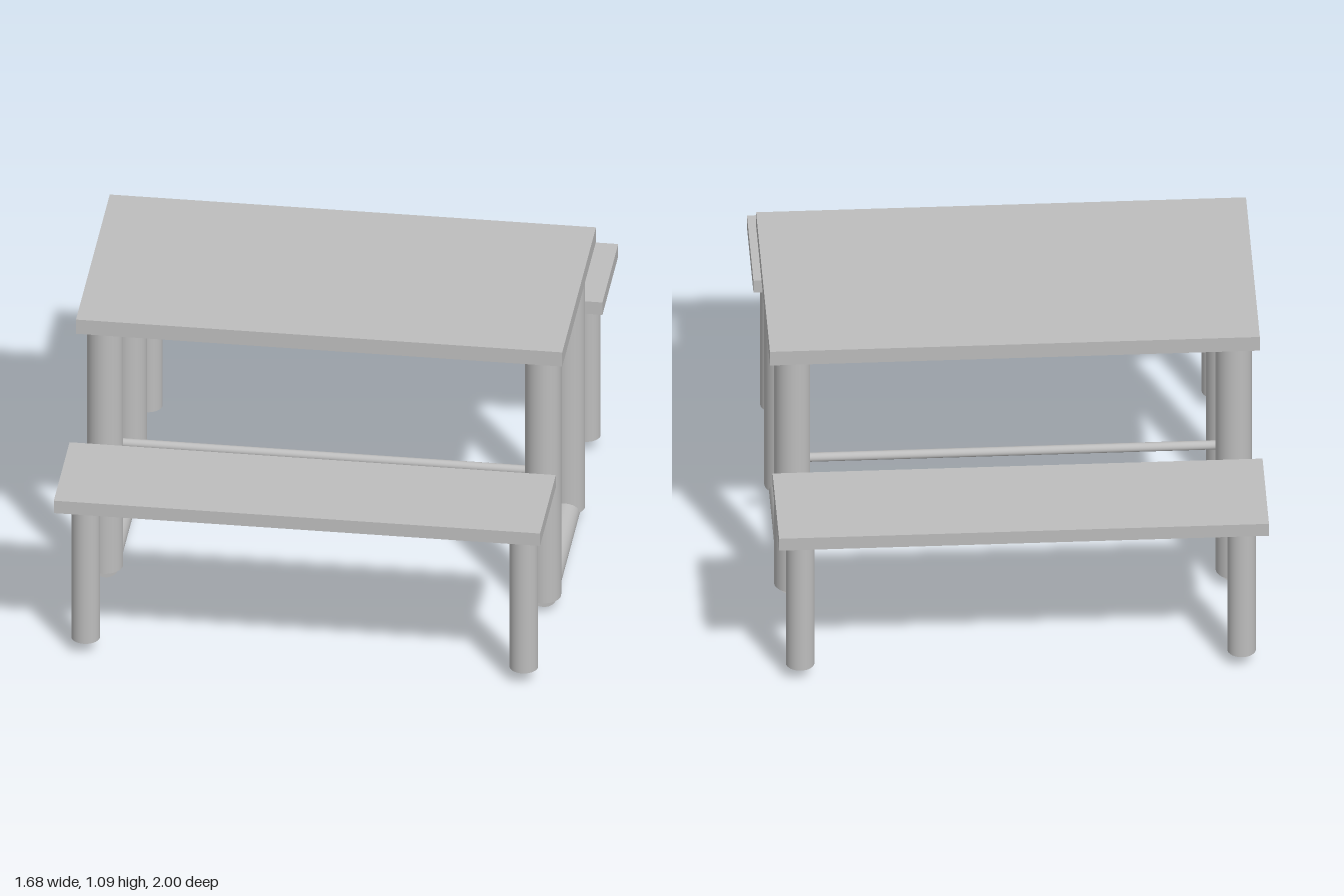
import * as THREE from 'three';

export function createModel() {
  const model = new THREE.Group();
  const grey = new THREE.MeshStandardMaterial({ color: 0xbdbdbd });
  grey.name = 'plain grey';

  const add = (parent, name, geometry, x, y, z) => {
    const mesh = new THREE.Mesh(geometry, grey);
    mesh.name = name;
    mesh.position.set(x, y, z);
    parent.add(mesh);
    return mesh;
  };

  // A slab made of boards laid side by side along x
  const length = 1.68;
  const addBoards = (name, count, bottom, top, depth, z) => {
    const slab = new THREE.Group();
    slab.name = name;
    const width = length / count;
    const board = new THREE.BoxGeometry(width, top - bottom, depth);
    for (let i = 0; i < count; i++) {
      add(slab, 'board', board, -length / 2 + (i + 0.5) * width, (bottom + top) / 2, z);
    }
    model.add(slab);
  };
  addBoards('tableTop', 10, 1.03, 1.086, 0.864, 0);
  addBoards('frontBenchSeat', 7, 0.646, 0.695, 0.404, 0.798);
  addBoards('backBenchSeat', 7, 0.646, 0.695, 0.404, -0.798);

  // Round legs and the foot bars joining each pair of table legs
  const tableLeg = new THREE.CylinderGeometry(0.062, 0.062, 0.98, 32);
  const benchLeg = new THREE.CylinderGeometry(0.049, 0.049, 0.598, 32);
  const footBar = new THREE.CylinderGeometry(0.048, 0.048, 0.608, 32).rotateX(Math.PI / 2);
  for (const x of [-0.757, 0.757]) {
    for (const side of [-1, 1]) {
      add(model, 'tableLeg', tableLeg, x, 0.54, side * 0.305);
      add(model, 'benchLeg', benchLeg, x, 0.348, side * 0.8);
    }
    add(model, 'footBar', footBar, x, 0.048, 0);
  }

  // Thin lengthwise rod between the two leg frames
  const rod = new THREE.CylinderGeometry(0.016, 0.016, 1.514, 24).rotateZ(Math.PI / 2);
  add(model, 'stretcherRod', rod, 0, 0.36, 0);

  return model;
}
